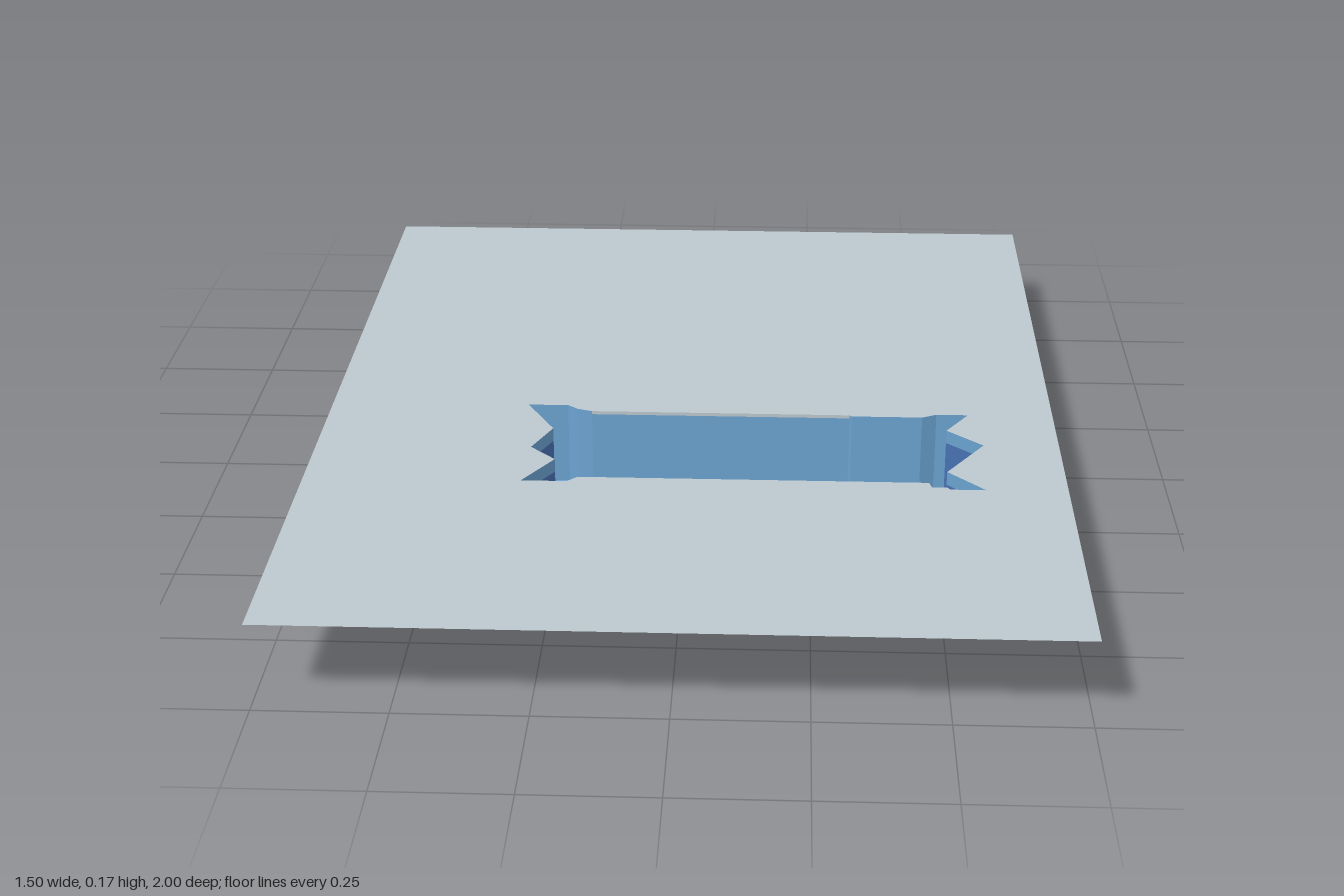
import * as THREE from 'three';

const TOP = 0.175;    // height of the sheet and depth of the recess
const BAND = 0.147;   // top of the end panels
const LIP = 0.168;    // underside of the grey lip on the long walls

// Outline of the recess as [x, z], clockwise seen from above
const OUTLINE = [
  [-0.34, 0.052], [-0.257, 0.052], [-0.235, 0.07], [-0.205, 0.08],
  [0.33, 0.08], [0.335, 0.085], [0.48, 0.085], [0.51, 0.07], [0.575, 0.07],
  [0.527, 0.147], [0.598, 0.215], [0.518, 0.34], [0.59, 0.418],
  [0.52, 0.418], [0.515, 0.41], [0.485, 0.41], [0.48, 0.39],
  [-0.21, 0.39], [-0.23, 0.41], [-0.32, 0.41],
  [-0.262, 0.312], [-0.315, 0.257], [-0.278, 0.167],
];
const isEnd = (i) => (i >= 8 && i < 12) || i >= 19;   // zigzag ends
const isLong = (i) => i === 3 || i === 16;            // long straight sides

function material(name, color) {
  const m = new THREE.MeshStandardMaterial({ color, side: THREE.DoubleSide });
  m.name = name;
  return m;
}

// Vertical strips along the chosen outline edges, facing outward
function wallGeometry(choose, y0, y1) {
  const pos = [];
  OUTLINE.forEach(([ax, az], i) => {
    if (!choose(i)) return;
    const [bx, bz] = OUTLINE[(i + 1) % OUTLINE.length];
    pos.push(ax, y0, az, ax, y1, az, bx, y1, bz);
    pos.push(ax, y0, az, bx, y1, bz, bx, y0, bz);
  });
  const g = new THREE.BufferGeometry();
  g.setAttribute('position', new THREE.Float32BufferAttribute(pos, 3));
  g.computeVertexNormals();
  return g;
}

export function createModel() {
  const model = new THREE.Group();
  model.name = 'recessedSheet';
  const grey = material('pale grey', 0xbcc8ce);
  const lightBlue = material('light blue', 0x6ba2d0);
  const deepBlue = material('deep blue', 0x4870b0);

  const add = (name, geometry, mat) => {
    const mesh = new THREE.Mesh(geometry, mat);
    mesh.name = name;
    model.add(mesh);
    return mesh;
  };
  const points = OUTLINE.map(([x, z]) => new THREE.Vector2(x, -z));

  // Flat sheet with the recess cut out
  const sheet = new THREE.Shape([
    new THREE.Vector2(-0.75, -1), new THREE.Vector2(0.75, -1),
    new THREE.Vector2(0.75, 1), new THREE.Vector2(-0.75, 1),
  ]);
  sheet.holes.push(new THREE.Path(points));
  add('sheet', new THREE.ShapeGeometry(sheet).rotateX(-Math.PI / 2), grey).position.y = TOP;

  // Recess floor
  add('recessFloor', new THREE.ShapeGeometry(new THREE.Shape(points)).rotateX(-Math.PI / 2), lightBlue);

  // Long walls with a thin grey lip, and the short corner walls
  add('longWalls', wallGeometry(isLong, 0, LIP), lightBlue);
  add('longWallLip', wallGeometry(isLong, LIP, TOP), grey);
  add('cornerWalls', wallGeometry((i) => !isEnd(i) && !isLong(i), 0, TOP), lightBlue);

  // Zigzag ends: deep panel below a light band
  add('endPanels', wallGeometry(isEnd, 0, BAND), deepBlue);
  add('endBands', wallGeometry(isEnd, BAND, TOP), lightBlue);

  return model;
}
